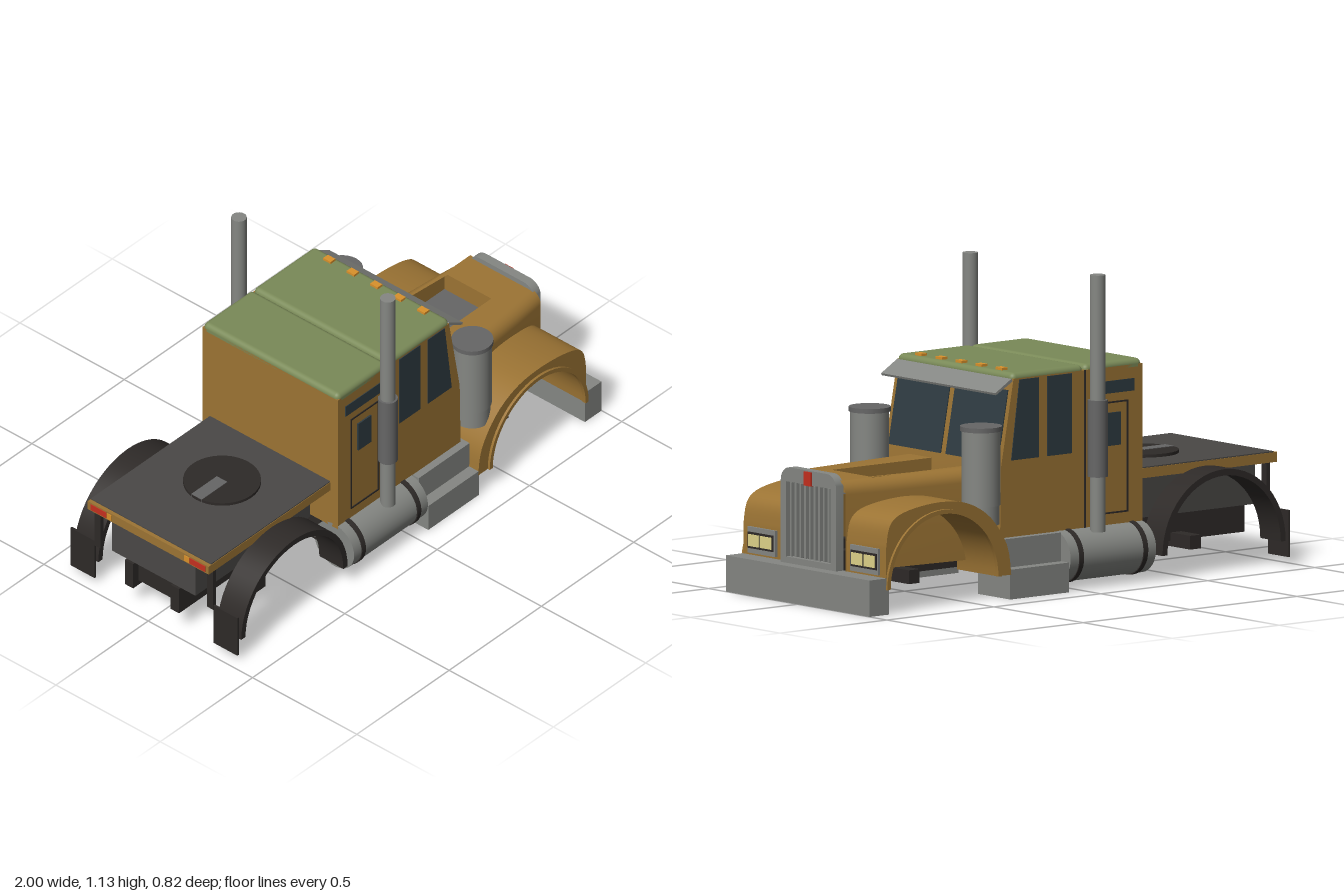
import * as THREE from 'three';
import { RoundedBoxGeometry } from 'three/addons/geometries/RoundedBoxGeometry.js';
import { toCreasedNormals } from 'three/addons/utils/BufferGeometryUtils.js';

const mat = (color, side = THREE.FrontSide) => new THREE.MeshStandardMaterial({ color, side });
const M = {
  paint: mat(0x9c7434), paintThin: mat(0x9c7434, THREE.DoubleSide), roof: mat(0x7a8a58),
  steel: mat(0x858783), midGrey: mat(0x666666), deck: mat(0x4a4846), black: mat(0x2e2a28),
  blackThin: mat(0x2e2a28, THREE.DoubleSide), glass: mat(0x2f3c42), lamp: mat(0xe0d48a),
  amber: mat(0xd9912b), red: mat(0xc4301f),
};

export function createModel() {
  const root = new THREE.Group();
  const add = (name, geo, m, x = 0, y = 0, z = 0) => {
    const mesh = new THREE.Mesh(geo, m);
    mesh.name = name;
    mesh.position.set(x, y, z);
    root.add(mesh);
    return mesh;
  };
  // Box given by its limits on each axis
  const box = (name, m, x0, x1, y0, y1, z0, z1) =>
    add(name, new THREE.BoxGeometry(x1 - x0, y1 - y0, z1 - z0), m, (x0 + x1) / 2, (y0 + y1) / 2, (z0 + z1) / 2);
  const boxPair = (name, m, x0, x1, y0, y1, z0, z1) => {
    box(name, m, x0, x1, y0, y1, z0, z1);
    box(name, m, x0, x1, y0, y1, -z1, -z0);
  };
  // Upright cylinder on both sides
  const postPair = (name, m, r, x, y0, y1, z) => {
    for (const s of [1, -1]) add(name, new THREE.CylinderGeometry(r, r, y1 - y0, 28), m, x, (y0 + y1) / 2, s * z);
  };
  const path = pts => pts.map(p => new THREE.Vector2(...p));
  const rect = (x0, x1, y0, y1) => [[x0, y0], [x1, y0], [x1, y1], [x0, y1]];
  // Side outline extruded along z
  const plate = (name, m, pts, z0, z1, hole) => {
    const shape = new THREE.Shape(path(pts));
    if (hole) shape.holes.push(new THREE.Path(path(hole)));
    const geo = new THREE.ExtrudeGeometry(shape, { depth: z1 - z0, bevelEnabled: false });
    return add(name, toCreasedNormals(geo, 0.6), m, 0, 0, z0);
  };
  const platePair = (name, m, pts, z0, z1, hole) => {
    plate(name, m, pts, z0, z1, hole);
    plate(name, m, pts, -z1, -z0, hole);
  };
  const arc = (cx, cy, r, a0, a1, n = 28) => Array.from({ length: n + 1 }, (_, i) => {
    const a = a0 + (a1 - a0) * i / n;
    return [cx + r * Math.cos(a), cy + r * Math.sin(a)];
  });

  // Chassis
  boxPair('frameRail', M.black, -0.98, 0.91, 0.09, 0.2, 0.09, 0.13);
  box('cabFloor', M.black, -0.34, 0.33, 0.1, 0.21, -0.24, 0.24);
  for (const x of [-0.93, -0.42, 0.42, 0.86]) box('crossMember', M.black, x - 0.02, x + 0.02, 0.11, 0.18, -0.1, 0.1);
  for (const x of [-0.66, 0.655]) box('axleBeam', M.black, x - 0.025, x + 0.025, 0.07, 0.12, -0.24, 0.24);

  // Rear deck and coupling plate
  box('rearBody', M.deck, -0.97, -0.35, 0.2, 0.36, -0.2, 0.2);
  box('deck', M.paint, -1, -0.34, 0.36, 0.396, -0.29, 0.29);
  box('deckTop', M.deck, -0.985, -0.34, 0.39, 0.4, -0.288, 0.288);
  add('couplingPlate', new THREE.CylinderGeometry(0.14, 0.14, 0.012, 40), M.black, -0.6, 0.405, 0);
  box('couplingSlot', M.midGrey, -0.738, -0.6, 0.4, 0.413, -0.025, 0.025);
  boxPair('tailLamp', M.red, -1.003, -0.99, 0.366, 0.39, 0.2, 0.275);
  boxPair('tailMarker', M.amber, -1.003, -0.99, 0.366, 0.39, 0.175, 0.198);

  // Rear fenders and mud flaps
  platePair('rearFender', M.blackThin,
    [...arc(-0.66, 0.09, 0.288, 0, Math.PI), ...arc(-0.66, 0.09, 0.265, Math.PI, 0)], 0.285, 0.4);
  boxPair('mudFlap', M.black, -0.969, -0.961, 0.03, 0.2, 0.285, 0.4);
  boxPair('mudFlapHanger', M.black, -0.97, -0.955, 0.18, 0.37, 0.255, 0.285);

  // Cab and sleeper shell
  plate('cab', M.paint, [[-0.34, 0.2], [0.325, 0.2], [0.32, 0.47], [0.262, 0.785], [-0.34, 0.785]], -0.325, 0.325);
  boxPair('cabSeam', M.black, -0.074, -0.068, 0.21, 0.785, 0.324, 0.327);
  add('sleeperRoof', new RoundedBoxGeometry(0.268, 0.05, 0.65, 3, 0.02), M.roof, -0.206, 0.78, 0);
  add('cabRoof', new RoundedBoxGeometry(0.335, 0.05, 0.65, 3, 0.02), M.roof, 0.1, 0.78, 0);
  for (const z of [-0.225, -0.112, 0, 0.112, 0.225]) box('roofMarker', M.amber, 0.222, 0.248, 0.8, 0.814, z - 0.018, z + 0.018);

  // Side glass and doors
  platePair('doorWindow', M.glass, rect(-0.01, 0.105, 0.49, 0.78), 0.322, 0.328);
  platePair('ventWindow', M.glass, [[0.145, 0.49], [0.274, 0.49], [0.236, 0.78], [0.145, 0.78]], 0.322, 0.328);
  platePair('sleeperWindow', M.glass, rect(-0.3, -0.11, 0.69, 0.735), 0.322, 0.328);
  platePair('hatchWindow', M.glass, rect(-0.235, -0.165, 0.5, 0.62), 0.322, 0.331);
  platePair('hatchSeal', M.black, rect(-0.272, -0.118, 0.253, 0.66), 0.322, 0.328, rect(-0.266, -0.124, 0.259, 0.654));

  // Windscreen halves and visor
  const tilt = Math.atan2(0.058, 0.315);
  for (const s of [1, -1]) {
    const pane = add('windscreen', new THREE.BoxGeometry(0.01, 0.265, 0.292), M.glass, 0.2925, 0.612, s * 0.16);
    pane.rotation.z = tilt;
  }
  plate('sunVisor', M.steel, [[0.262, 0.775], [0.34, 0.732], [0.343, 0.74], [0.268, 0.785]], -0.32, 0.32);

  // Hood: cross-sections lofted along x, with a sunken tray behind x = 0.785
  const section = (w, dip) => {
    const r = 0.05, top = 0.46;
    const right = [[w, 0.13], ...arc(w - r, top - r, r, 0, Math.PI / 2, 6)];
    const left = [...arc(-w + r, top - r, r, Math.PI / 2, Math.PI, 6), [-w, 0.13]];
    return [...right, [0.065, top], [0.065, dip], [-0.16, dip], [-0.16, top], ...left];
  };
  const stations = [[0.31, 0.235, 0.385], [0.785, 0.195, 0.385], [0.785, 0.195, 0.46], [0.925, 0.178, 0.46]];
  const pos = [], idx = [];
  let count = 0;
  for (const [x, w, dip] of stations) {
    const s = section(w, dip);
    count = s.length;
    s.forEach(([z, y]) => pos.push(x, y, z));
  }
  for (let i = 0; i < stations.length - 1; i++) for (let j = 0; j < count - 1; j++) {
    const a = i * count + j, b = a + count;
    idx.push(a, b, a + 1, b, b + 1, a + 1);
  }
  const hood = new THREE.BufferGeometry();
  hood.setAttribute('position', new THREE.Float32BufferAttribute(pos, 3));
  hood.setIndex(idx);
  add('hood', toCreasedNormals(hood, 0.6), M.paintThin);
  box('hoodTray', M.midGrey, 0.33, 0.785, 0.38, 0.388, -0.16, 0.065);

  // Grille with rounded surround, facing +x
  const outer = new THREE.Shape(path([[-0.155, 0.13], [0.155, 0.13],
    ...arc(0.105, 0.43, 0.05, 0, Math.PI / 2, 8), ...arc(-0.105, 0.43, 0.05, Math.PI / 2, Math.PI, 8)]));
  outer.holes.push(new THREE.Path(path(rect(-0.125, 0.125, 0.155, 0.428))));
  const surround = add('grilleSurround', toCreasedNormals(
    new THREE.ExtrudeGeometry(outer, { depth: 0.035, bevelEnabled: false }), 0.6), M.steel, 0.915);
  surround.rotation.y = Math.PI / 2;
  box('grilleBack', M.black, 0.912, 0.925, 0.14, 0.44, -0.14, 0.14);
  for (let i = -4; i <= 4; i++) box('grilleBar', M.steel, 0.925, 0.944, 0.157, 0.426, i * 0.0265 - 0.005, i * 0.0265 + 0.005);
  box('grilleMarker', M.red, 0.945, 0.956, 0.425, 0.476, -0.02, 0.02);

  // Front fenders: outer curve over the wheel arch
  const crown = new THREE.SplineCurve(path([[0.335, 0.09], [0.355, 0.2], [0.43, 0.305], [0.53, 0.365],
    [0.64, 0.384], [0.76, 0.378], [0.86, 0.355], [0.905, 0.315], [0.92, 0.24]])).getPoints(32).map(p => [p.x, p.y]);
  const arch = arc(0.655, 0.09, 0.255, 0, Math.PI);
  platePair('frontFender', M.paintThin, [...crown, [0.92, 0.09], ...arch], 0.175, 0.4);
  const lip = [...arc(0.655, 0.09, 0.268, 0, Math.PI), ...arc(0.655, 0.09, 0.252, Math.PI, 0)];
  platePair('fenderLip', M.paintThin, lip, 0.395, 0.41);

  // Headlamps
  boxPair('headlampFrame', M.steel, 0.915, 0.93, 0.14, 0.235, 0.21, 0.365);
  boxPair('headlampPanel', M.black, 0.92, 0.934, 0.158, 0.217, 0.218, 0.36);
  for (const z of [0.225, 0.294]) boxPair('headlamp', M.lamp, 0.925, 0.938, 0.166, 0.209, z, z + 0.06);

  // Bumper
  box('bumper', M.steel, 0.91, 1, 0, 0.132, -0.403, 0.403);

  // Air cleaners
  postPair('airCleanerBase', M.steel, 0.066, 0.403, 0.27, 0.345, 0.312);
  postPair('airCleaner', M.steel, 0.07, 0.403, 0.34, 0.615, 0.312);
  postPair('airCleanerCap', M.midGrey, 0.076, 0.403, 0.61, 0.627, 0.312);

  // Exhaust stacks
  postPair('exhaustPipe', M.steel, 0.028, -0.105, 0.2, 1.132, 0.357);
  postPair('exhaustMuffler', M.midGrey, 0.036, -0.105, 0.4, 0.678, 0.357);

  // Fuel tanks with straps
  const drum = (name, m, r, x0, x1, z) => {
    add(name, new THREE.CylinderGeometry(r, r, x1 - x0, 36), m, (x0 + x1) / 2, 0.12, z).rotation.z = Math.PI / 2;
  };
  for (const z of [0.308, -0.308]) {
    drum('fuelTank', M.steel, 0.095, -0.34, 0.06, z);
    for (const x of [-0.29, 0.01]) drum('tankStrap', M.black, 0.099, x - 0.01, x + 0.01, z);
  }

  // Cab steps
  boxPair('upperStep', M.steel, 0.065, 0.34, 0.1, 0.212, 0.22, 0.355);
  boxPair('lowerStep', M.steel, 0.065, 0.34, 0, 0.108, 0.22, 0.4);

  return root;
}
